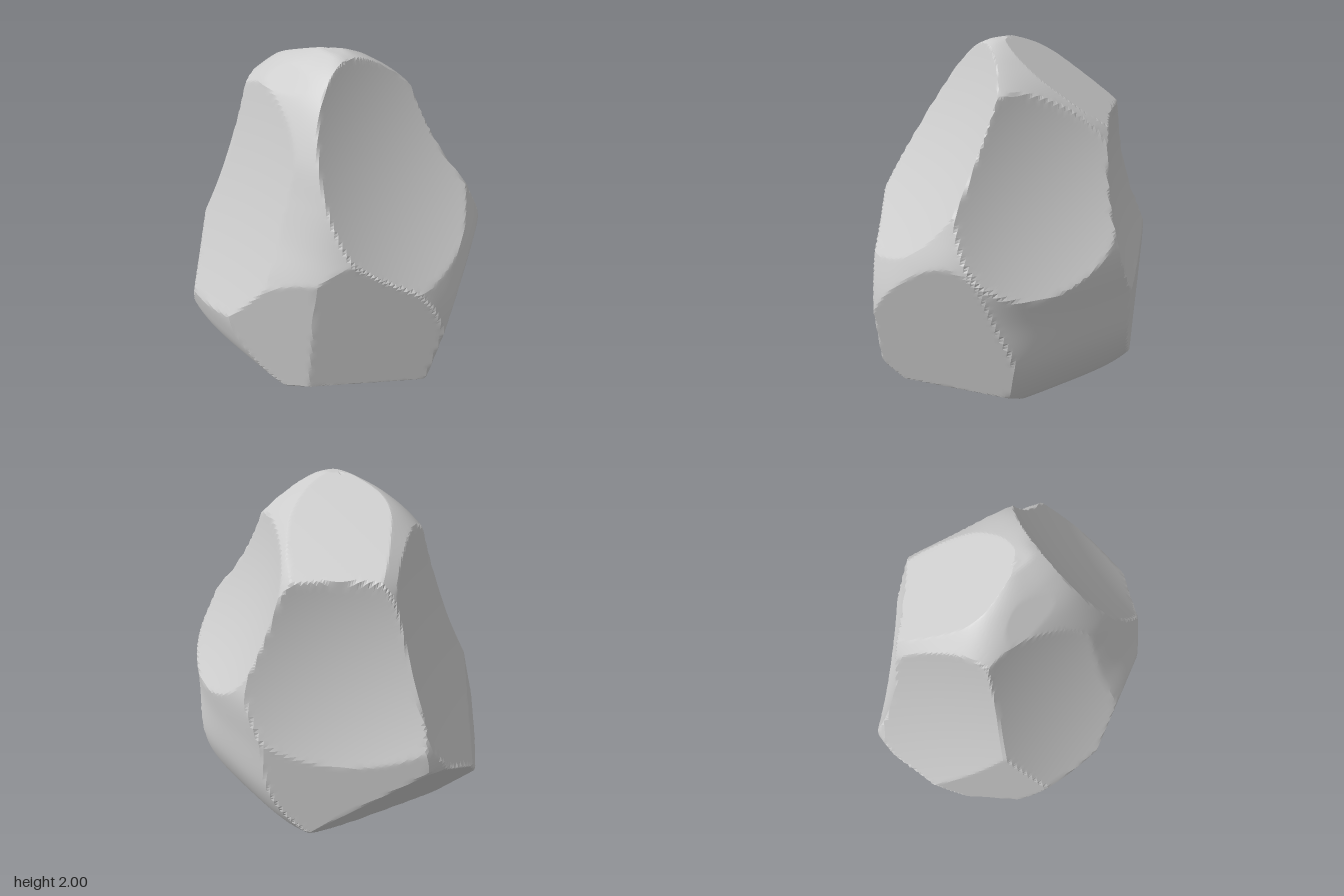
import * as THREE from 'three';
import { mergeVertices, toCreasedNormals } from 'three/addons/utils/BufferGeometryUtils.js';

// Rounded core: height, then smallest and largest x and z at that height
const SECTIONS = [
  [0.00, -0.02, 0.02, 0.12, 0.16],
  [0.01, -0.08, 0.08, -0.03, 0.30],
  [0.10, -0.33, 0.32, -0.28, 0.62],
  [0.20, -0.52, 0.54, -0.57, 0.73],
  [0.30, -0.63, 0.63, -0.71, 0.81],
  [0.50, -0.715, 0.71, -0.83, 0.88],
  [0.75, -0.74, 0.73, -0.88, 0.86],
  [1.00, -0.63, 0.74, -0.80, 0.78],
  [1.20, -0.53, 0.68, -0.72, 0.69],
  [1.40, -0.45, 0.60, -0.65, 0.60],
  [1.60, -0.38, 0.50, -0.58, 0.48],
  [1.80, -0.27, 0.34, -0.40, 0.36],
  [1.92, -0.16, 0.19, -0.25, 0.27],
  [1.99, -0.06, 0.06, -0.07, 0.14],
  [2.00, -0.02, 0.00, 0.00, 0.04],
];

// Flat chips: outward normal and offset of each cutting plane
const CHIPS = [
  [0.525, -0.2, 0.85, 0.62],      // lower front left
  [-0.6, -0.03, 0.79, 0.665],     // lower front right
  [-0.9, 0, 0.42, 0.68],          // lower right side
  [0.4, 0.75, -0.35, 1.49],       // cap, left slope
  [-0.72, 0.69, -0.03, 1.44],     // cap, right slope
  [0.71, 0, -0.7, 0.70],          // lower back left
  [-0.7, 0.17, -0.69, 0.84],      // lower back right
  [-0.365, -0.81, 0.45, 0.135],   // underside front right
  [0.35, -0.85, 0.4, 0.13],       // underside front left
  [0.33, -0.94, 0, 0.015],        // underside left
  [0.11, -0.64, -0.757, 0.23],    // underside back
  [-0.5, -0.7, -0.5, 0.27],       // underside back right
].map(([x, y, z, d]) => ({ n: new THREE.Vector3(x, y, z), d }));

// Hollow chips: deepest point, outward normal and radius of each scooping ball
const SCOOPS = [
  [[0, 1.43, 0.415], [-0.1, 0.527, 0.85], 2.5],            // leaning front
  [[0.465, 1.34, 0.19], [0.894, 0.388, 0.222], 2],         // upper left side
  [[0.37, 1.13, -0.42], [0.68, 0.2, -0.7], 2],             // upper back left
  [[-0.455, 1.23, -0.09], [-0.92, 0.37, -0.15], 4],        // upper right side
  [[-0.15, 1.25, -0.54], [-0.45, 0.3, -0.84], 4],          // back
].map(([point, normal, radius]) => ({
  radius,
  ball: new THREE.Vector3(...normal).setLength(radius).add(new THREE.Vector3(...point)),
}));

const CENTRE = new THREE.Vector3(0, 0.9, 0);

// Pull a point towards the centre until it is clear of every chip
function chip(p) {
  p.sub(CENTRE);
  let t = 1;
  for (const { n, d } of CHIPS) {
    const reach = n.dot(p);
    if (reach > 0) t = Math.min(t, (d - n.dot(CENTRE)) / reach);
  }
  for (const { ball, radius } of SCOOPS) {
    const v = CENTRE.clone().sub(ball), a = p.lengthSq(), b = p.dot(v);
    const disc = b * b - a * (v.lengthSq() - radius * radius);
    if (b < 0 && disc > 0) t = Math.min(t, (-b - Math.sqrt(disc)) / a);
  }
  return p.multiplyScalar(t).add(CENTRE);
}

function rockGeometry(rows = 180, sides = 220) {
  const low = new THREE.CatmullRomCurve3(
    SECTIONS.map(([y, x0, , z0]) => new THREE.Vector3(x0, y, z0)), false, 'catmullrom', 0.5);
  const high = new THREE.CatmullRomCurve3(
    SECTIONS.map(([y, , x1, , z1]) => new THREE.Vector3(x1, y, z1)), false, 'catmullrom', 0.5);
  const positions = [], index = [];

  // Rings of the core, rounder at the waist, then chipped
  for (let i = 0; i <= rows; i++) {
    const a = low.getPoint(i / rows), b = high.getPoint(i / rows);
    const square = 3.1 + 0.6 * Math.cos(Math.PI * 2 * a.y / 1.6);
    for (let j = 0; j < sides; j++) {
      const angle = (j / sides) * Math.PI * 2;
      const s = Math.sin(angle), c = Math.cos(angle);
      const k = Math.pow(Math.abs(s) ** square + Math.abs(c) ** square, -1 / square);
      const p = chip(new THREE.Vector3(
        (a.x + b.x) / 2 + s * k * (b.x - a.x) / 2,
        a.y,
        (a.z + b.z) / 2 + c * k * (b.z - a.z) / 2));
      positions.push(p.x, p.y, p.z);
      if (i < rows) {
        const here = i * sides + j, next = i * sides + (j + 1) % sides;
        index.push(here, next, next + sides, here, next + sides, here + sides);
      }
    }
  }
  // Close the bottom and the top
  const last = rows * sides;
  for (let j = 1; j < sides - 1; j++) {
    index.push(0, j + 1, j, last, last + j, last + j + 1);
  }
  const geometry = new THREE.BufferGeometry();
  geometry.setAttribute('position', new THREE.Float32BufferAttribute(positions, 3));
  geometry.setIndex(index);

  // Stand on the ground
  geometry.computeBoundingBox();
  geometry.translate(0, -geometry.boundingBox.min.y, 0);
  return toCreasedNormals(mergeVertices(geometry, 1e-5), 0.25);
}

export function createModel() {
  const group = new THREE.Group();
  group.name = 'boulder';
  const rock = new THREE.Mesh(rockGeometry(), new THREE.MeshStandardMaterial({ color: 0xcccccc }));
  rock.name = 'rock';
  group.add(rock);
  return group;
}
